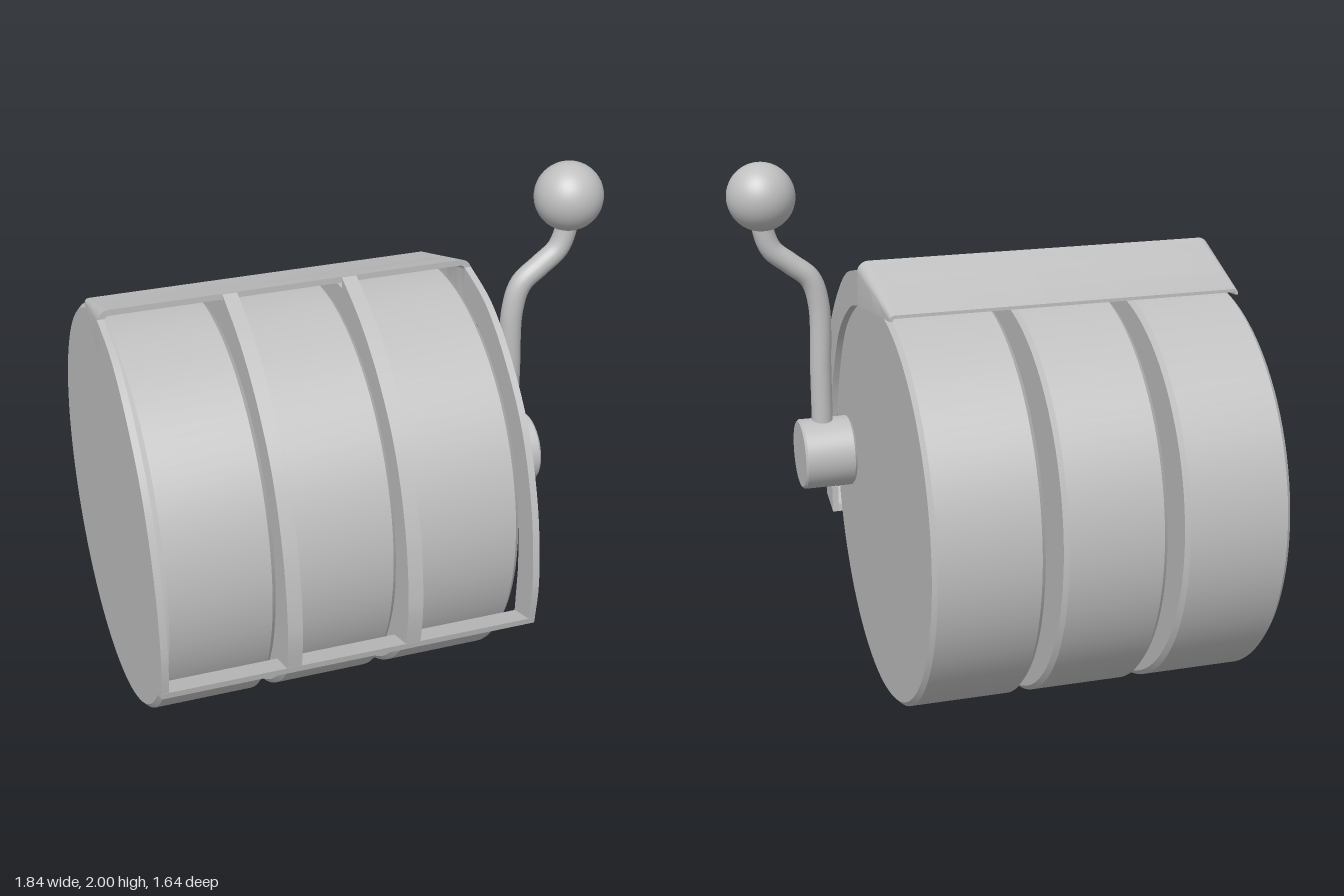
import * as THREE from 'three';
import { toCreasedNormals } from 'three/addons/utils/BufferGeometryUtils.js';

const grey = new THREE.MeshStandardMaterial({ color: 0xc0c0c0 });
grey.name = 'plain grey';

function part(name, geometry, parent) {
  const mesh = new THREE.Mesh(geometry, grey);
  mesh.name = name;
  parent.add(mesh);
  return mesh;
}

// Cylinder along x with small chamfers at both ends
function drum(radius, x0, x1, bevel, segments) {
  const h = (x1 - x0) / 2;
  const pts = [[0, -h], [radius - bevel, -h], [radius, -h + bevel],
    [radius, h - bevel], [radius - bevel, h], [0, h]].map(p => new THREE.Vector2(...p));
  const g = toCreasedNormals(new THREE.LatheGeometry(pts, segments), 0.5);
  return g.rotateZ(-Math.PI / 2).translate((x0 + x1) / 2, 0, 0);
}

// Side profile given as [z, y], extruded from x0 to x1
function slab(shape, x0, x1) {
  const g = new THREE.ExtrudeGeometry(shape, { depth: x1 - x0, bevelEnabled: false, curveSegments: 40 });
  g.rotateY(-Math.PI / 2).translate(x1, 0, 0);
  return toCreasedNormals(g, 0.4);
}

const vecs = list => list.map(p => new THREE.Vector2(...p));

// Curved band that follows the front of the wheels
function bandShape(topY) {
  const s = new THREE.Shape();
  s.moveTo(0.795, 0.485);
  s.splineThru(vecs([[0.815, 0.68], [0.775, 0.945], [0.67, 1.2], [0.51, 1.395], [0.32, 1.54], [0.117, topY]]));
  s.lineTo(0.117, 1.47);
  s.splineThru(vecs([[0.26, 1.425], [0.46, 1.28], [0.6, 1.05], [0.675, 0.82], [0.69, 0.65]]));
  s.lineTo(0.68, 0.445);
  s.closePath();
  return s;
}

// Rounded arch outline, counter-clockwise from lower right to lower left
function arch(cx, half, top, bottom, r) {
  const pts = [[cx + half, bottom]];
  for (const [side, start] of [[1, 0], [-1, Math.PI / 2]]) {
    for (let i = 0; i <= 6; i++) {
      const a = start + i / 6 * Math.PI / 2;
      pts.push([cx + side * (half - r) + r * Math.cos(a), top - r + r * Math.sin(a)]);
    }
  }
  pts.push([cx - half, bottom]);
  return pts;
}

// Sloping hood: a thin arch that narrows towards the back
function hoodGeometry() {
  const pos = [], idx = [], steps = 8, lerp = THREE.MathUtils.lerp;
  let n = 0;
  for (let s = 0; s <= steps; s++) {
    const t = s / steps;
    const half = lerp(0.6925, 0.66, t), top = lerp(1.637, 1.525, t);
    const bottom = lerp(1.47, 1.503, t), wall = lerp(0.022, 0.012, t), r = lerp(0.042, 0.016, t);
    const outer = arch(-0.2275, half, top, bottom, r);
    const inner = arch(-0.2275, half - wall, top - wall, bottom, r - wall + 0.002);
    n = outer.length;
    for (const [x, y] of [...outer, ...inner.reverse()]) pos.push(x, y, lerp(0.117, -0.25, t));
  }
  const ring = 2 * n;
  for (let s = 0; s < steps; s++) {
    for (let i = 0; i < ring; i++) {
      const j = (i + 1) % ring, a = s * ring + i, b = s * ring + j;
      idx.push(a, a + ring, b, b, a + ring, b + ring);
    }
  }
  const back = steps * ring;
  for (let i = 0; i < n - 1; i++) {
    const o = i, p = i + 1, q = ring - 2 - i, w = ring - 1 - i;
    idx.push(o, p, q, o, q, w);
    idx.push(back + o, back + q, back + p, back + o, back + w, back + q);
  }
  const g = new THREE.BufferGeometry();
  g.setAttribute('position', new THREE.Float32BufferAttribute(pos, 3));
  g.setIndex(idx);
  return toCreasedNormals(g, 0.5);
}

export function createModel() {
  const model = new THREE.Group();
  model.name = 'reelMachine';

  // Three reels
  const reels = new THREE.Group();
  reels.name = 'reels';
  model.add(reels);
  for (const [x0, x1] of [[-0.875, -0.475], [-0.41, -0.03], [0.035, 0.437]]) {
    part('reel', drum(0.76, x0, x1, 0.016, 96), reels).position.set(0, 0.76, -0.06);
  }

  // Front frame: side plates, dividers, lower bar and hood
  const frame = new THREE.Group();
  frame.name = 'frame';
  model.add(frame);
  const side = bandShape(1.605), divider = bandShape(1.635);
  part('sidePlate', slab(side, -0.92, -0.895), frame);
  part('sidePlate', slab(side, 0.44, 0.465), frame);
  part('divider', slab(divider, -0.474, -0.42), frame);
  part('divider', slab(divider, -0.033, 0.022), frame);
  const bar = new THREE.Shape(vecs([[0.795, 0.485], [0.8, 0.51], [0.685, 0.475], [0.68, 0.445]]));
  part('lowerBar', slab(bar, -0.92, 0.465), frame);
  part('hood', hoodGeometry(), frame);

  // Pull handle
  const handle = new THREE.Group();
  handle.name = 'handle';
  handle.position.z = 0.22;
  model.add(handle);
  part('hub', drum(0.133, 0.485, 0.68, 0.008, 48), handle).position.y = 0.877;
  const path = new THREE.CatmullRomCurve3([[0.59, 0.95], [0.59, 1.2], [0.59, 1.46], [0.62, 1.56],
    [0.69, 1.62], [0.76, 1.68], [0.79, 1.77], [0.79, 1.85]].map(p => new THREE.Vector3(p[0], p[1], 0)));
  part('lever', new THREE.TubeGeometry(path, 60, 0.04, 20), handle);
  part('knob', new THREE.SphereGeometry(0.125, 40, 28), handle).position.set(0.79, 1.875, 0);

  return model;
}
